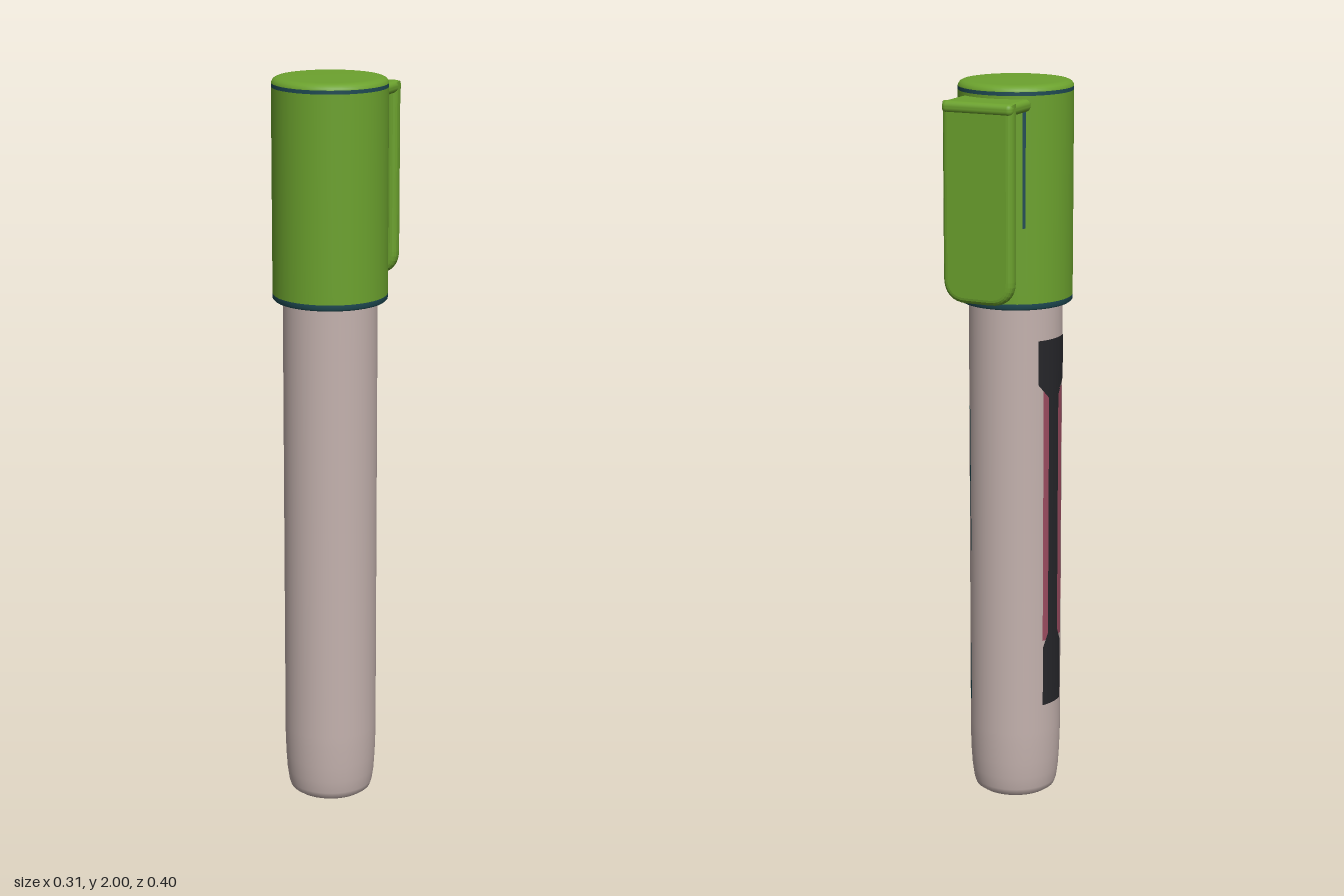
import * as THREE from 'three';
import { RoundedBoxGeometry } from 'three/addons/geometries/RoundedBoxGeometry.js';

export function createModel() {
  const model = new THREE.Group();
  model.name = 'markerPen';
  const paint = (name, color) => {
    const m = new THREE.MeshStandardMaterial({ color });
    m.name = name;
    return m;
  };
  const green = paint('capGreen', 0x6ca22e);
  const teal = paint('darkTeal', 0x1f4b54);
  const shell = paint('barrelPink', 0xc4b2ae);
  const black = paint('labelBlack', 0x26262a);
  const rose = paint('labelRose', 0x9c4c60);

  const AXIS = 0.045; // z of the barrel axis
  const BARREL = 0.126;
  const CAP = 0.153;

  const add = (name, geometry, material, z = AXIS) => {
    const mesh = new THREE.Mesh(geometry, material);
    mesh.name = name;
    mesh.position.z = z;
    model.add(mesh);
    return mesh;
  };
  const lathe = (pts) =>
    new THREE.LatheGeometry(pts.map(([r, y]) => new THREE.Vector2(r, y)), 40);

  // Barrel with a softly rounded foot
  add('barrel', lathe([
    [0, 0.004], [0.085, 0.004], [0.1, 0.007], [0.111, 0.015], [0.116, 0.03],
    [0.121, 0.065], [0.124, 0.11], [BARREL, 0.17], [BARREL, 0.2], [BARREL, 1.43],
  ]), shell);

  // Cap sleeve, rounded lid and the teal bands at both ends
  add('capSleeve', lathe([[CAP, 1.428], [CAP, 1.45], [CAP, 1.96], [CAP, 1.974]]), green);
  add('capLid', lathe([
    [CAP, 1.984], [0.152, 1.988], [0.148, 1.994], [0.14, 1.998], [0.125, 2], [0, 2],
  ]), green);
  add('capTopBand', lathe([[CAP, 1.974], [CAP, 1.984]]), teal);
  add('capRim', lathe([[0.148, 1.411], [CAP, 1.416], [CAP, 1.428]]), teal);
  add('capUnderside', lathe([[BARREL - 0.004, 1.411], [0.148, 1.411]]), teal);

  // Pocket clip: upright blade with rounded lower corners
  const bevel = 0.016;
  const w = 0.1 - bevel, top = 1.965 - bevel, bottom = 1.44 + bevel, r = 0.05;
  const blade = new THREE.Shape();
  blade.moveTo(-w, top);
  blade.lineTo(-w, bottom + r);
  blade.quadraticCurveTo(-w, bottom, -w + r, bottom);
  blade.lineTo(w - r, bottom);
  blade.quadraticCurveTo(w, bottom, w, bottom + r);
  blade.lineTo(w, top);
  add('clipBlade', new THREE.ExtrudeGeometry(blade, {
    depth: 0.008, bevelThickness: bevel, bevelSize: bevel, bevelSegments: 4, curveSegments: 8,
  }), green, -0.18);

  // Bridge joining the clip to the cap
  add('clipBridge', new RoundedBoxGeometry(0.2, 0.032, 0.13, 3, 0.014), green, -0.135)
    .position.y = 1.95;

  // Thin sheet wrapped on a cylinder; rows run upward as [y, startDegrees, endDegrees]
  const wrap = (radius, rows, steps = 10) => {
    const pos = [], nor = [], idx = [];
    rows.forEach(([y, a0, a1], j) => {
      for (let i = 0; i <= steps; i++) {
        const t = THREE.MathUtils.degToRad(a0 + ((a1 - a0) * i) / steps);
        pos.push(radius * Math.sin(t), y, radius * Math.cos(t));
        nor.push(Math.sin(t), 0, Math.cos(t));
        if (j && i) {
          const c = j * (steps + 1) + i, b = c - steps - 1;
          idx.push(b - 1, b, c, b - 1, c, c - 1);
        }
      }
    });
    const g = new THREE.BufferGeometry();
    g.setAttribute('position', new THREE.Float32BufferAttribute(pos, 3));
    g.setAttribute('normal', new THREE.Float32BufferAttribute(nor, 3));
    g.setIndex(idx);
    return g;
  };

  // Side label: rose backing under a black bar with wide ends
  add('labelBacking', wrap(BARREL + 0.0015, [[0.47, 241, 282], [1.18, 241, 282]]), rose);
  add('labelBar', wrap(BARREL + 0.003, [
    [0.28, 241, 277], [0.45, 241, 278], [0.49, 249, 268],
    [1.16, 249, 268], [1.2, 233, 285], [1.32, 233, 285],
  ]), black);

  // Fine paired lines on the back of the barrel
  for (const [y0, y1] of [[0.27, 0.44], [0.71, 1.12]]) {
    for (const a of [126, 130]) {
      add('barrelLine', wrap(BARREL + 0.001, [[y0, a, a + 1.6], [y1, a, a + 1.6]], 1), teal);
    }
  }
  // Seams on the cap beside the clip
  for (const a of [153, 213]) {
    add('capSeam', wrap(CAP + 0.001, [[1.63, a - 1.5, a + 1.5], [1.96, a - 1.5, a + 1.5]], 2), teal);
  }
  return model;
}
